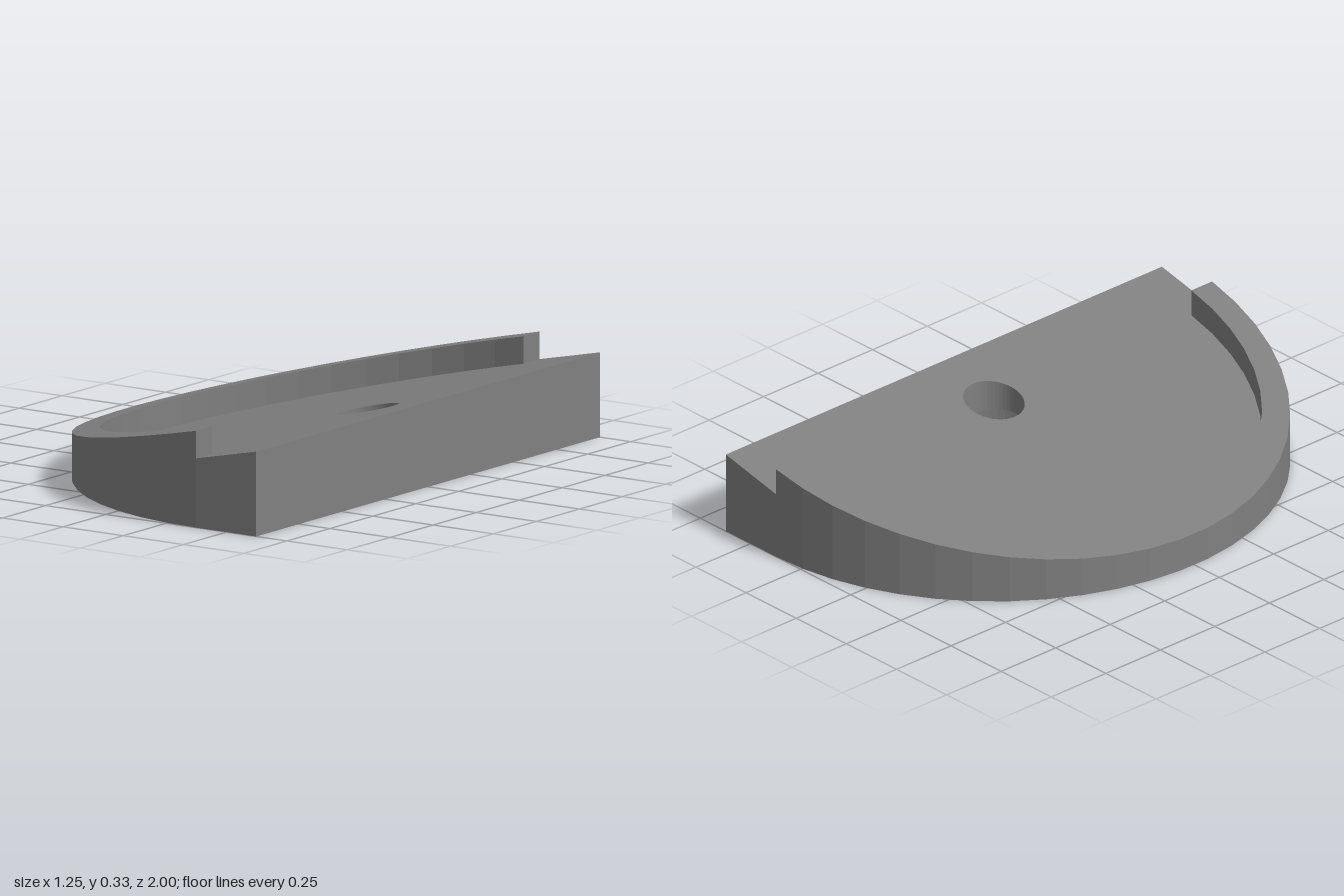
import * as THREE from 'three';

const CX = 0.373, BACK = 0.623;          // arc centre and flat edge in x
const R = 1, RIN = 0.905;                // outer and inner radius of the rim
const BORE = 0.104, RECESS = 0.19, CEIL = 0.15;
const PIN_R = 0.055, PIN_Y = 0.085, PIN_END = 0.5;

const rimY = x => 0.12 + (x + 0.622) * 0.215;
const floorY = x => rimY(x) - 0.095;
const flat = h => () => h;

export function createModel() {
  const group = new THREE.Group();
  group.name = 'slopedHalfDiscBase';
  const material = new THREE.MeshStandardMaterial({ color: 0x808080, flatShading: true });

  const add = (name, geometry) => {
    geometry.computeVertexNormals();
    const mesh = new THREE.Mesh(geometry, material);
    mesh.name = name;
    group.add(mesh);
  };

  // Plan points (x, v), where v = -z, running counter-clockwise seen from above
  const arc = (r, a0, a1, n) => Array.from({ length: n + 1 }, (_, i) => {
    const a = a0 + (a1 - a0) * i / n;
    return new THREE.Vector2(CX + r * Math.cos(a), r * Math.sin(a));
  });
  const circle = (r, n = 48) => arc(r, 0, Math.PI * 2, n);
  const half = r => arc(r, Math.PI / 2, Math.PI * 1.5, 25);
  const lift = (pts, y) => pts.map(p => new THREE.Vector3(p.x, y(p.x), -p.y));

  // Strip of quads between two rows of points
  const loft = (name, a, b) => {
    const pos = [];
    for (let i = 0; i < a.length - 1; i++)
      for (const p of [a[i], a[i + 1], b[i + 1], a[i], b[i + 1], b[i]]) pos.push(p.x, p.y, p.z);
    const g = new THREE.BufferGeometry();
    g.setAttribute('position', new THREE.Float32BufferAttribute(pos, 3));
    add(name, g);
  };
  const wall = (name, pts, low, high) => loft(name, lift(pts, low), lift(pts, high));

  // Filled outline laid on a height rule, facing up or down
  const face = (name, outline, hole, y, up) => {
    const shape = new THREE.Shape(outline);
    if (hole) shape.holes.push(new THREE.Path(hole));
    const g = new THREE.ShapeGeometry(shape);
    const p = g.attributes.position;
    for (let i = 0; i < p.count; i++)
      p.setXYZ(i, p.getX(i), y(p.getX(i)), (up ? -1 : 1) * p.getY(i));
    add(name, g);
  };

  const V = (x, v) => new THREE.Vector2(x, v);
  const edge = [V(CX, -R), V(BACK, -R), V(BACK, R), V(CX, R)];

  // Horizontal and sloping faces
  face('underside', [...half(R), ...edge.slice(1, 3)], circle(RECESS), flat(0), false);
  face('slopedFloor', [...half(RIN), ...edge], circle(BORE), floorY, true);
  face('rimTop', [...half(R), ...half(RIN).reverse()], null, rimY, true);
  face('recessCeiling', circle(RECESS), circle(BORE), flat(CEIL), false);

  // Upright walls
  wall('curvedOuterWall', half(R), flat(0), rimY);
  wall('straightWalls', edge, flat(0), floorY);
  wall('rimInnerWall', half(RIN).reverse(), floorY, rimY);
  wall('rimEndLeft', [V(CX, -R), V(CX, -RIN)], floorY, rimY);
  wall('rimEndRight', [V(CX, RIN), V(CX, R)], floorY, rimY);
  wall('boreWall', circle(BORE).reverse(), flat(CEIL), floorY);

  // Recess wall, left open where the side pocket enters it
  const w = 0.07, gap = Math.asin(w / RECESS), mid = Math.PI * 1.5;
  wall('recessWall', arc(RECESS, mid + gap, mid - gap + Math.PI * 2, 42).reverse(), flat(0), flat(CEIL));

  const onRecess = x => Math.sqrt(RECESS * RECESS - x * x);
  const row = (y, s) => Array.from({ length: 9 }, (_, i) => V(s * w * (i / 4 - 1), y));
  const ring = Array.from({ length: 33 }, (_, i) => {
    const a = -i / 32 * Math.PI * 2;
    return V(PIN_R * Math.cos(a), PIN_Y + PIN_R * Math.sin(a));
  });
  const patch = new THREE.Shape([...row(0, 1), ...row(CEIL, -1)]);
  patch.holes.push(new THREE.Path(ring));
  const pg = new THREE.ShapeGeometry(patch), pp = pg.attributes.position;
  for (let i = 0; i < pp.count; i++) {
    const x = pp.getX(i);
    pp.setXYZ(i, CX - x, pp.getY(i), onRecess(x));
  }
  add('recessWallAroundPocket', pg);

  // Blind round side pocket
  loft('sidePocketWall',
    ring.map(p => new THREE.Vector3(CX + p.x, p.y, onRecess(p.x))),
    ring.map(p => new THREE.Vector3(CX + p.x, p.y, PIN_END)));
  add('sidePocketEnd', new THREE.CircleGeometry(PIN_R, 32).rotateY(Math.PI).translate(CX, PIN_Y, PIN_END));

  return group;
}
